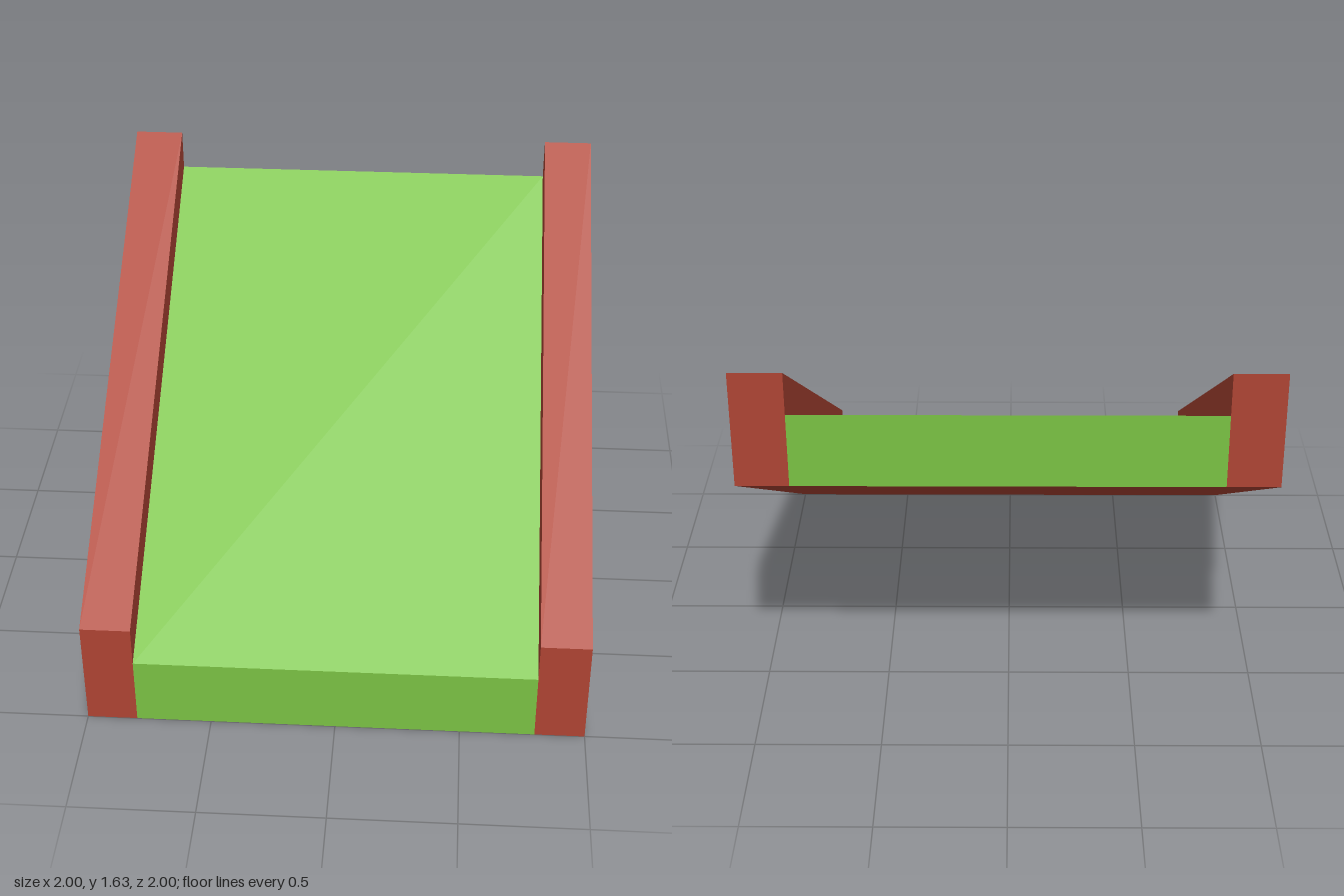
import * as THREE from 'three';

const RISE = 1.172; // height gained from front (z = 1) to back (z = -1)

// Box sheared upward toward the back, its ends staying vertical
function slopedBox(name, width, height, x, material) {
  const geometry = new THREE.BoxGeometry(width, height, 2);
  geometry.translate(x, height / 2, 0);
  const p = geometry.attributes.position;
  for (let i = 0; i < p.count; i++) {
    p.setY(i, p.getY(i) + (RISE * (1 - p.getZ(i))) / 2);
  }
  geometry.computeVertexNormals();
  const mesh = new THREE.Mesh(geometry, material);
  mesh.name = name;
  return mesh;
}

export function createModel() {
  const group = new THREE.Group();
  group.name = 'slopedRamp';
  const green = new THREE.MeshStandardMaterial({ color: 0x7ac143 });
  const red = new THREE.MeshStandardMaterial({ color: 0xae4433 });

  // Green deck with a red underside (face order: +x, -x, +y, -y, +z, -z)
  group.add(slopedBox('deck', 1.6, 0.293, 0, [green, green, green, red, green, green]));

  // Raised side rails
  for (const side of [-1, 1]) {
    group.add(slopedBox(side > 0 ? 'leftRail' : 'rightRail', 0.2, 0.46, side * 0.9, red));
  }
  return group;
}
